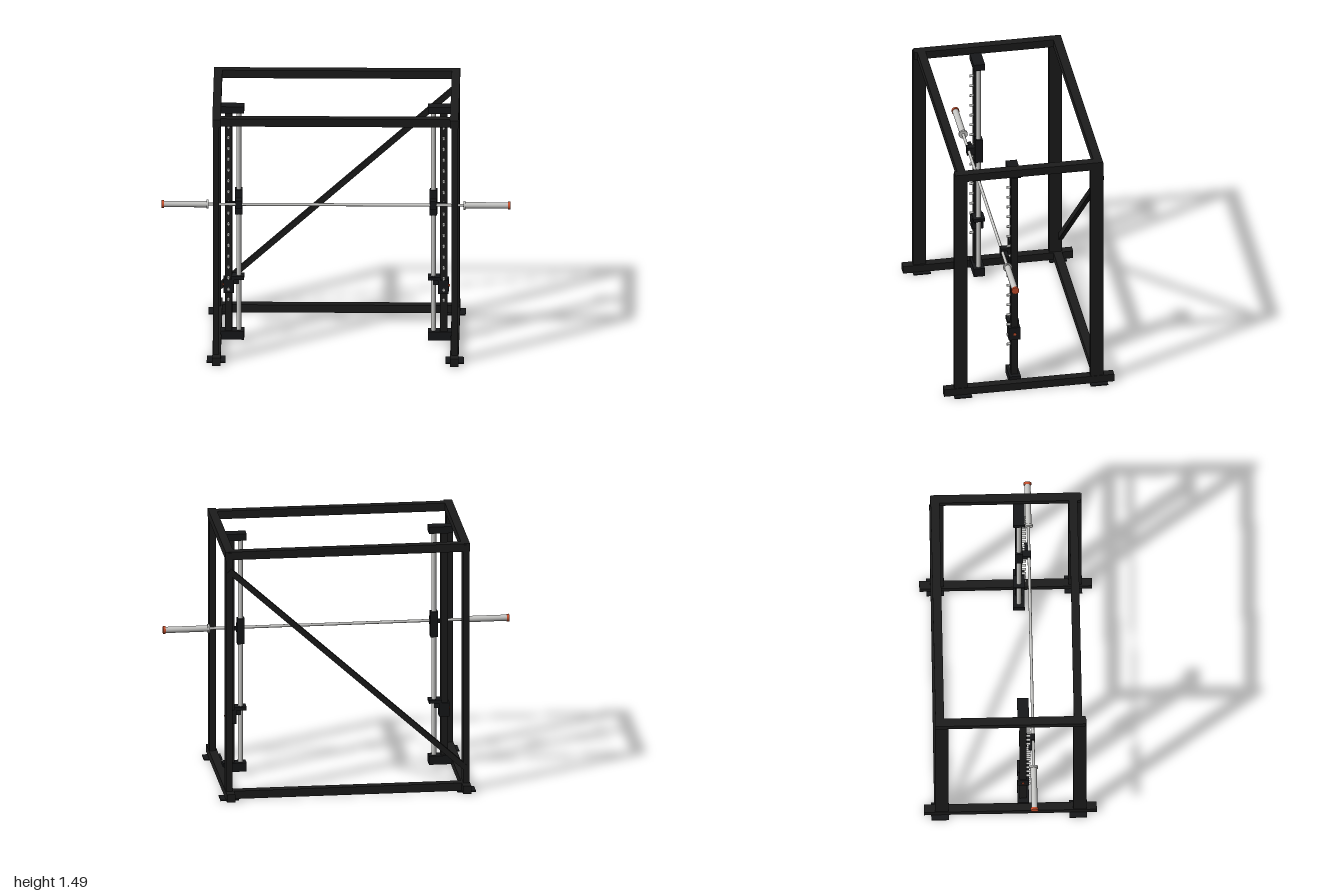
import * as THREE from 'three';

const mat = (name, color) => {
  const m = new THREE.MeshStandardMaterial({ color });
  m.name = name;
  return m;
};

export function createModel() {
  const root = new THREE.Group();
  root.name = 'smithMachine';
  const black = mat('frameBlack', 0x1c1c1c);
  const dark = mat('bracketBlack', 0x17181a);
  const steel = mat('steel', 0xc6c6c4);
  const orange = mat('orange', 0xc94f2c);

  // Box given by its min and max along each axis
  const box = (parent, name, m, x0, x1, y0, y1, z0, z1) => {
    const g = new THREE.BoxGeometry(Math.abs(x1 - x0), y1 - y0, z1 - z0);
    const mesh = new THREE.Mesh(g, m);
    mesh.position.set((x0 + x1) / 2, (y0 + y1) / 2, (z0 + z1) / 2);
    mesh.name = name;
    parent.add(mesh);
    return mesh;
  };
  // Cylinder centred at a point, lying along the chosen axis
  const rod = (parent, name, m, axis, r, len, x, y, z, seg = 24) => {
    const g = new THREE.CylinderGeometry(r, r, len, seg);
    if (axis === 'x') g.rotateZ(Math.PI / 2);
    if (axis === 'z') g.rotateX(Math.PI / 2);
    const mesh = new THREE.Mesh(g, m);
    mesh.position.set(x, y, z);
    mesh.name = name;
    parent.add(mesh);
    return mesh;
  };

  // Cross beams
  box(root, 'topFrontBeam', black, -0.665, 0.665, 1.438, 1.486, 0.364, 0.412);
  box(root, 'topRearBeam', black, -0.665, 0.665, 1.438, 1.486, -0.43, -0.38);
  box(root, 'baseRearBeam', black, -0.665, 0.665, 0.003, 0.05, -0.43, -0.38);

  // Diagonal rear brace
  const a = new THREE.Vector2(-0.685, 0.137), b = new THREE.Vector2(0.685, 1.375);
  const d = b.clone().sub(a);
  const brace = box(root, 'rearBrace', black, -d.length() / 2, d.length() / 2, -0.016, 0.016, -0.438, -0.41);
  brace.position.x = (a.x + b.x) / 2;
  brace.position.y = (a.y + b.y) / 2;
  brace.rotation.z = d.angle();

  for (const s of [-1, 1]) {
    const side = new THREE.Group();
    side.name = s > 0 ? 'leftSide' : 'rightSide';
    root.add(side);
    const sbox = (name, m, x0, x1, ...r) => box(side, name, m, s * x0, s * x1, ...r);

    // Side frame
    sbox('baseRail', black, 0.658, 0.706, 0.003, 0.05, -0.495, 0.495);
    sbox('topRail', black, 0.658, 0.706, 1.438, 1.486, -0.43, 0.43);
    sbox('frontPost', black, 0.667, 0.703, 0.04, 1.48, 0.36, 0.435);
    sbox('rearPost', black, 0.667, 0.703, 0.04, 1.48, -0.432, -0.357);
    for (const z of [0.388, -0.404])
      sbox('footPlate', dark, 0.631, 0.738, 0, 0.006, z - 0.051, z + 0.051);

    // Peg upright, guide rod and their end brackets
    sbox('pegUpright', black, 0.596, 0.638, 0.05, 1.42, 0.054, 0.094);
    rod(side, 'guideRod', steel, 'y', 0.0145, 1.37, s * 0.558, 0.74, 0.074);
    sbox('topBracket', dark, 0.527, 0.664, 1.405, 1.445, 0.041, 0.107);
    sbox('bottomBracket', dark, 0.527, 0.664, 0.018, 0.07, 0.041, 0.107);

    // Racking pegs
    for (let i = 0; i < 17; i++)
      rod(side, 'rackingPeg', steel, 'z', 0.0075, 0.03, s * 0.617, 0.264 + i * 0.066, 0.101, 12);

    // Sliding carriage with bar holder and latch
    sbox('carriage', dark, 0.537, 0.58, 0.78, 0.932, 0.052, 0.096);
    sbox('barHolder', dark, 0.54, 0.577, 0.832, 0.882, 0.094, 0.143);
    sbox('latch', dark, 0.56, 0.632, 0.848, 0.868, 0.106, 0.126);

    // Adjustable safety stop
    sbox('safetyBlock', dark, 0.585, 0.646, 0.305, 0.386, 0.041, 0.108);
    sbox('safetyArm', dark, 0.527, 0.6, 0.385, 0.405, 0.041, 0.108);
    sbox('safetyGusset', dark, 0.557, 0.59, 0.355, 0.386, 0.054, 0.094);
    rod(side, 'safetyKnob', orange, 'x', 0.008, 0.008, s * 0.648, 0.345, 0.074, 16);

    // Bar sleeve, collar and end cap
    rod(side, 'barSleeve', steel, 'x', 0.018, 0.25, s * 0.864, 0.857, 0.132);
    rod(side, 'barCollar', steel, 'x', 0.026, 0.012, s * 0.737, 0.857, 0.132);
    rod(side, 'barEndCap', orange, 'x', 0.022, 0.014, s * 0.993, 0.857, 0.132);
  }

  // Bar shaft
  rod(root, 'barShaft', steel, 'x', 0.0085, 1.5, 0, 0.857, 0.132);
  return root;
}
